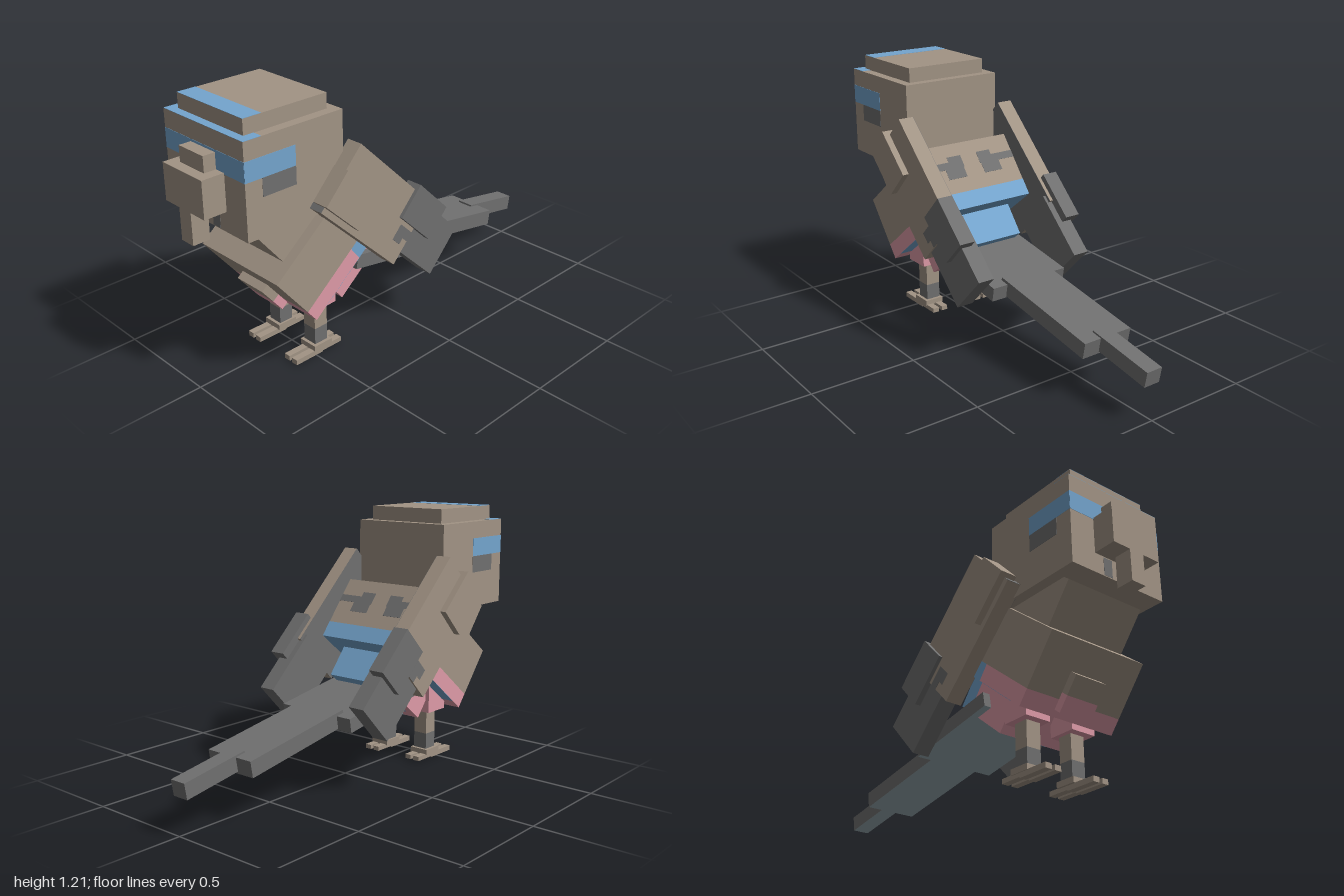
import * as THREE from 'three';

const mat = (name, hex) => {
  const m = new THREE.MeshStandardMaterial({ color: hex });
  m.name = name;
  return m;
};

export function createModel() {
  const brown = mat('taupe feathers', 0xa29485);
  const grey = mat('dark grey', 0x707070);
  const blue = mat('sky blue', 0x74a5ce);
  const pink = mat('rose pink', 0xdf9ba8);
  const slate = mat('slate underside', 0x98aab0);
  const tailMats = [grey, grey, grey, slate, grey, grey];

  const model = new THREE.Group();
  model.name = 'bird';

  // Tilted or upright frame: origin at (y, z), turned about x
  const frame = (name, y = 0, z = 0, tilt = 0) => {
    const g = new THREE.Group();
    g.name = name;
    g.position.set(0, y, z);
    g.rotation.x = tilt;
    model.add(g);
    return g;
  };
  // Box given by its extents along x, y and z
  const box = (parent, name, material, [x0, x1], [y0, y1], [z0, z1]) => {
    const geo = new THREE.BoxGeometry(Math.abs(x1 - x0), y1 - y0, z1 - z0);
    const mesh = new THREE.Mesh(geo, material);
    mesh.name = name;
    mesh.position.set((x0 + x1) / 2, (y0 + y1) / 2, (z0 + z1) / 2);
    parent.add(mesh);
    return mesh;
  };
  const wide = (h) => [-h, h];
  const T = 0.0012; // thickness of painted plates

  // Head with flat crown and beak
  const head = frame('head', -0.004);
  box(head, 'skull', brown, wide(0.25), [0.738, 1.15], [0.404, 0.896]);
  box(head, 'crown', brown, wide(0.205), [1.15, 1.217], [0.446, 0.858]);
  box(head, 'upperBeak', brown, wide(0.125), [0.827, 0.99], [0.896, 1.0]);
  box(head, 'beakTip', brown, wide(0.037), [0.685, 0.827], [0.92, 1.0]);
  box(head, 'cere', brown, wide(0.077), [0.99, 1.06], [0.896, 0.953]);
  // Painted head markings
  box(head, 'browStripe', blue, wide(0.25), [0.984, 1.07], [0.896, 0.896 + T]);
  box(head, 'foreheadStripe', blue, wide(0.25), [1.15, 1.15 + T], [0.81, 0.896]);
  box(head, 'crownStripe', blue, wide(0.205), [1.217, 1.217 + T], [0.77, 0.858]);
  for (const s of [1, -1]) {
    const side = [s * 0.25, s * (0.25 + T)];
    box(head, 'sideStripe', blue, side, [0.984, 1.07], [0.65, 0.896]);
    box(head, 'eyePatch', grey, side, [0.905, 0.984], [0.65, 0.815]);
    box(head, 'chinSpot', grey, [s * 0.035, s * 0.08], [0.742, 0.822], [0.896, 0.896 + T]);
  }

  // Body, leaning: local z points forward and down
  const body = frame('body', 0.246, 0.564, 0.68);
  box(body, 'torso', brown, wide(0.248), [0.075, 0.323], [-0.578, 0]);
  box(body, 'bellyBand', pink, wide(0.248), [0, 0.075], [-0.32, 0]);
  box(body, 'lowerBack', blue, wide(0.248), [0, 0.075], [-0.578, -0.32]);
  box(body, 'lowerBackEdge', blue, wide(0.248), [0, 0.08], [-0.578 - T, -0.578]);
  box(body, 'bellyUnderside', blue, wide(0.248), [-T, 0], [-0.32, -0.07]);
  box(body, 'neck', brown, wide(0.2), [0.323, 0.523], [-0.4, -0.095]);
  box(body, 'breastPlate', brown, wide(0.082), [0.105, 0.195], [0, 0.037]);
  box(body, 'breastPlateBottom', pink, wide(0.082), [0.03, 0.105], [0, 0.037]);
  box(body, 'rump', pink, wide(0.165), [-0.155, 0], [-0.42, -0.16]);
  box(body, 'rumpEnd', blue, wide(0.165), [-0.155, 0], [-0.49, -0.42]);
  box(body, 'rumpPatch', blue, wide(0.08), [-0.155 - T, -0.155], [-0.42, -0.16]);
  for (const s of [1, -1]) {
    box(body, 'rumpSidePatch', blue, [s * 0.08, s * 0.125], [-0.155 - T, -0.155], [-0.33, -0.21]);
    // Feather marks on the back
    const marks = [
      [[0.12, 0.245], [0.2, 0.235]],
      [[0.05, 0.15], [0.15, 0.2]],
      [[0.045, 0.12], [0.2, 0.26]],
    ];
    for (const [[x0, x1], y] of marks)
      box(body, 'backMark', grey, [s * x0, s * x1], y, [-0.578 - T, -0.578]);
  }

  // Wings: local z points forward and up
  for (const s of [1, -1]) {
    const wing = frame(s > 0 ? 'leftWing' : 'rightWing', 0.776, 0.586, -0.76);
    const x = (a, b) => [s * a, s * b];
    box(wing, 'wingMain', brown, x(0.241, 0.316), [0, 0.318], [-0.567, 0]);
    box(wing, 'wingInside', grey, x(0.241 - T, 0.241), [0, 0.318], [-0.567, 0]);
    box(wing, 'shoulderEdge', grey, x(0.241, 0.316), [0, 0.06], [0, T]);
    box(wing, 'wingCovert', brown, x(0.268, 0.347), [0.026, 0.194], [-0.22, 0.022]);
    box(wing, 'wingTip', grey, x(0.227, 0.307), [0.062, 0.305], [-0.852, -0.53]);
    box(wing, 'outerFeathers', grey, x(0.257, 0.333), [0.18, 0.345], [-0.678, -0.44]);
    box(wing, 'wingMark', grey, x(0.316, 0.316 + T), [0.115, 0.16], [-0.567, -0.475]);
    box(wing, 'wingMarkStep', grey, x(0.316, 0.316 + T), [0.085, 0.115], [-0.53, -0.475]);
  }

  // Tail in three narrowing pieces
  const tail = frame('tail', 0.424, 0.275, -0.17);
  box(tail, 'tailBase', tailMats, wide(0.2), [-0.066, 0], [-0.485, 0]);
  box(tail, 'tailMiddle', tailMats, wide(0.125), [-0.06, 0.014], [-1.015, -0.44]);
  box(tail, 'tailEnd', tailMats, wide(0.04), [-0.05, 0.022], [-1.29, -0.963]);

  // Legs and feet
  for (const s of [1, -1]) {
    const leg = frame(s > 0 ? 'leftLeg' : 'rightLeg');
    const x = (a, b) => [s * a, s * b];
    box(leg, 'thigh', pink, x(0.06, 0.185), [0.24, 0.38], [0.4, 0.53]);
    box(leg, 'shin', brown, x(0.083, 0.154), [0.125, 0.25], [0.425, 0.495]);
    box(leg, 'ankle', grey, x(0.083, 0.154), [0.045, 0.125], [0.425, 0.495]);
    box(leg, 'foot', brown, x(0.074, 0.169), [0.022, 0.048], [0.41, 0.51]);
    for (const c of [0.101, 0.149]) {
      box(leg, 'frontToe', brown, x(c - 0.016, c + 0.016), [0, 0.024], [0.46, 0.612]);
      box(leg, 'backToe', brown, x(c - 0.016, c + 0.016), [0.005, 0.026], [0.352, 0.46]);
    }
  }

  return model;
}
